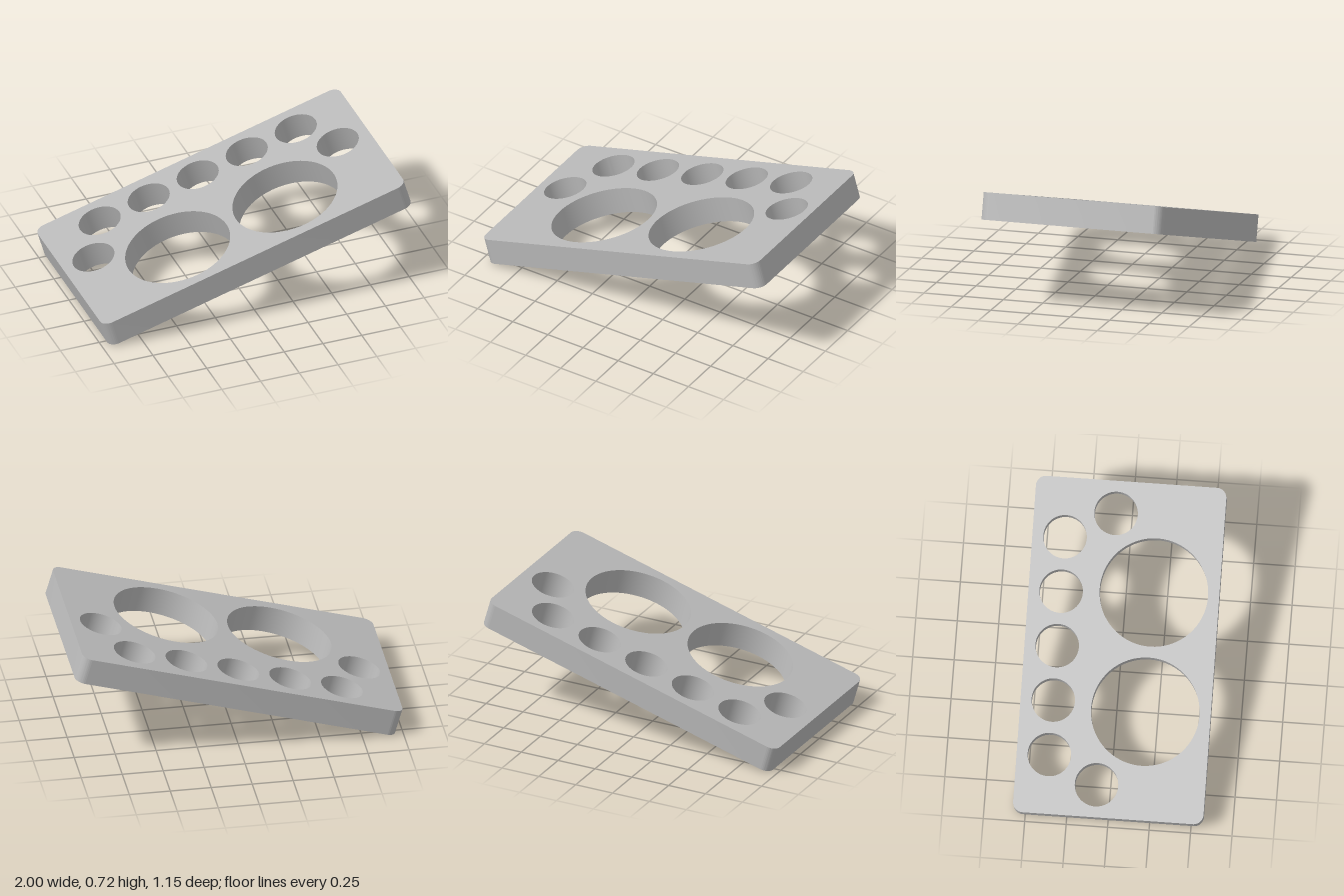
import * as THREE from 'three';
import { toCreasedNormals } from 'three/addons/utils/BufferGeometryUtils.js';

const LENGTH = 2.033, WIDTH = 1.148, THICKNESS = 0.166, CORNER = 0.06;
const TILT = THREE.MathUtils.degToRad(16);

// Rounded rectangle outline, centred on the origin
function roundedRect(w, h, r) {
  const x = w / 2 - r, y = h / 2 - r;
  const shape = new THREE.Shape();
  shape.absarc(x, y, r, 0, Math.PI / 2);
  shape.absarc(-x, y, r, Math.PI / 2, Math.PI);
  shape.absarc(-x, -y, r, Math.PI, Math.PI * 1.5);
  shape.absarc(x, -y, r, Math.PI * 1.5, Math.PI * 2);
  shape.closePath();
  return shape;
}

export function createModel() {
  const grey = new THREE.MeshStandardMaterial({ color: 0xb8b8b8 });
  grey.name = 'grey';

  const outline = roundedRect(LENGTH, WIDTH, CORNER);
  const addHole = (x, z, r) =>
    outline.holes.push(new THREE.Path().absarc(x, -z, r, 0, Math.PI * 2, true));

  // Two large holes and a small hole at each end
  for (const side of [-1, 1]) {
    addHole(side * 0.36, 0.18, 0.327);
    addHole(side * 0.82, -0.081, 0.131);
  }
  // Row of five small holes along the back
  for (let i = -2; i <= 2; i++) addHole(i * 0.329, -0.377, 0.131);

  // Flat plate, laid down and centred
  let geometry = new THREE.ExtrudeGeometry(outline, {
    depth: THICKNESS, bevelEnabled: false, curveSegments: 32,
  });
  geometry.translate(0, 0, -THICKNESS / 2);
  geometry.rotateX(-Math.PI / 2);
  geometry = toCreasedNormals(geometry, Math.PI / 5);

  // Tilt the plate so its left end is raised
  const plate = new THREE.Mesh(geometry, grey);
  plate.name = 'holderPlate';
  plate.rotation.z = TILT;
  plate.position.y = (LENGTH * Math.sin(TILT) + THICKNESS * Math.cos(TILT)) / 2;

  const model = new THREE.Group();
  model.name = 'tiltedHolder';
  model.add(plate);
  return model;
}
